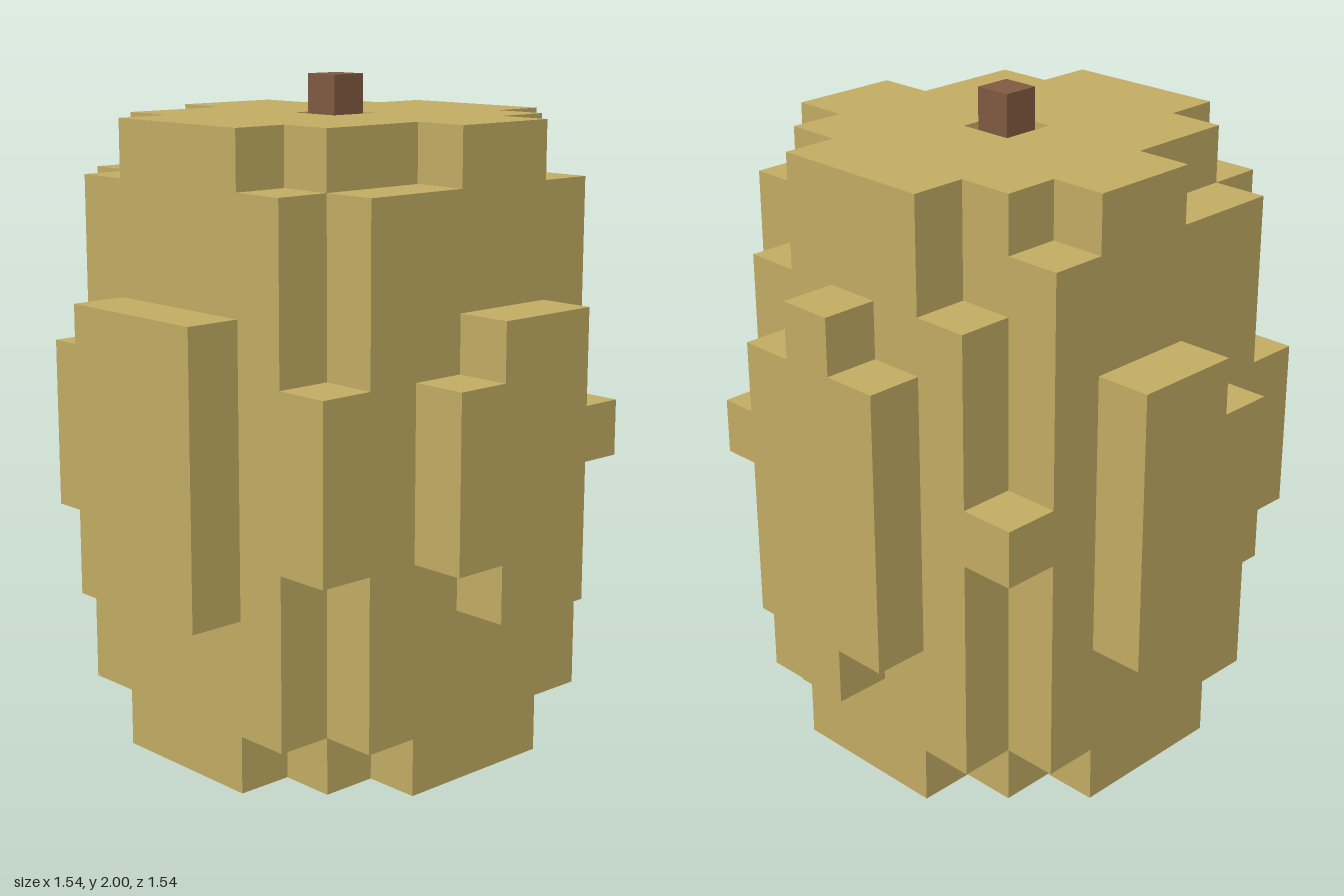
import * as THREE from 'three';

const U = 1.2 / 7; // edge of one cube cell
const ROWS = 11;

// Faces of a cell: outward normal and two in-plane axes with u x v = n
const FACES = [
  [[1, 0, 0], [0, 1, 0], [0, 0, 1]],
  [[-1, 0, 0], [0, 0, 1], [0, 1, 0]],
  [[0, 1, 0], [0, 0, 1], [1, 0, 0]],
  [[0, -1, 0], [1, 0, 0], [0, 0, 1]],
  [[0, 0, 1], [1, 0, 0], [0, 1, 0]],
  [[0, 0, -1], [0, 1, 0], [1, 0, 0]],
];

const within = (v, a, b) => v >= a && v <= b;

// Main body: a 7 x 11 x 7 block with carved corners, alike at front and back
function inBody(x, y, z) {
  const d = Math.abs(z);
  if (!within(x, -3, 3) || d > 3 || !within(y, 0, ROWS - 1)) return false;
  if (x === 0 && z === 0 && y === ROWS - 1) return false; // stem pit
  // corner columns survive only as short ribs
  if (d === 3 && x === 3) return y === 5;
  if (d === 3 && x === -3) return within(y, 4, 6);
  // bottom notches beside the corners
  if (y === 0 && ((d === 3 && Math.abs(x) === 2) || (d === 2 && Math.abs(x) === 3))) return false;
  // top notches
  if (y === 10 && d === 3 && (x === 2 || x === -1 || x === -2)) return false;
  if (d === 2 && x === 3 && y >= 9) return false;
  if (d === 2 && x === -3 && y === 10) return false;
  return true;
}

// Raised panels on the four sides
const endPanel = (x, y) => (within(x, 0, 1) && within(y, 3, 7)) || (x === -1 && within(y, 4, 6));
const parts = {
  body: inBody,
  frontPanel: (x, y, z) => z === 4 && endPanel(x, y),
  backPanel: (x, y, z) => z === -4 && endPanel(x, y),
  leftPanel: (x, y, z) => x === 4 && ((Math.abs(z) <= 1 && within(y, 3, 7)) || (z === 0 && within(y, 2, 8))),
  rightPanel: (x, y, z) => x === -4 && Math.abs(z) <= 1 && within(y, 3, 7),
};
const solid = (x, y, z) => Object.values(parts).some((test) => test(x, y, z));

// Outer skin of all cells that belong to one part
function skin(test) {
  const pos = [], nor = [], idx = [];
  for (let x = -4; x <= 4; x++) for (let y = 0; y < ROWS; y++) for (let z = -4; z <= 4; z++) {
    if (!test(x, y, z)) continue;
    const c = [x, y + 0.5, z];
    for (const [n, u, v] of FACES) {
      if (solid(x + n[0], y + n[1], z + n[2])) continue;
      const base = pos.length / 3;
      for (const [s, t] of [[-1, -1], [1, -1], [1, 1], [-1, 1]]) {
        for (let k = 0; k < 3; k++) pos.push((c[k] + (n[k] + s * u[k] + t * v[k]) / 2) * U);
        nor.push(...n);
      }
      idx.push(base, base + 1, base + 2, base, base + 2, base + 3);
    }
  }
  const g = new THREE.BufferGeometry();
  g.setAttribute('position', new THREE.Float32BufferAttribute(pos, 3));
  g.setAttribute('normal', new THREE.Float32BufferAttribute(nor, 3));
  g.setIndex(idx);
  return g;
}

export function createModel() {
  const group = new THREE.Group();
  group.name = 'blockyGourd';
  const rind = new THREE.MeshStandardMaterial({ color: 0xc4ad64 });
  rind.name = 'tan rind';
  const wood = new THREE.MeshStandardMaterial({ color: 0x815b41 });
  wood.name = 'brown stem';

  for (const [name, test] of Object.entries(parts)) {
    const mesh = new THREE.Mesh(skin(test), rind);
    mesh.name = name;
    group.add(mesh);
  }

  // Stem standing in the pit
  const pitFloor = (ROWS - 1) * U;
  const stem = new THREE.Mesh(new THREE.BoxGeometry(0.114, 2 - pitFloor, 0.114), wood);
  stem.position.y = (2 + pitFloor) / 2;
  stem.name = 'stem';
  group.add(stem);
  return group;
}
